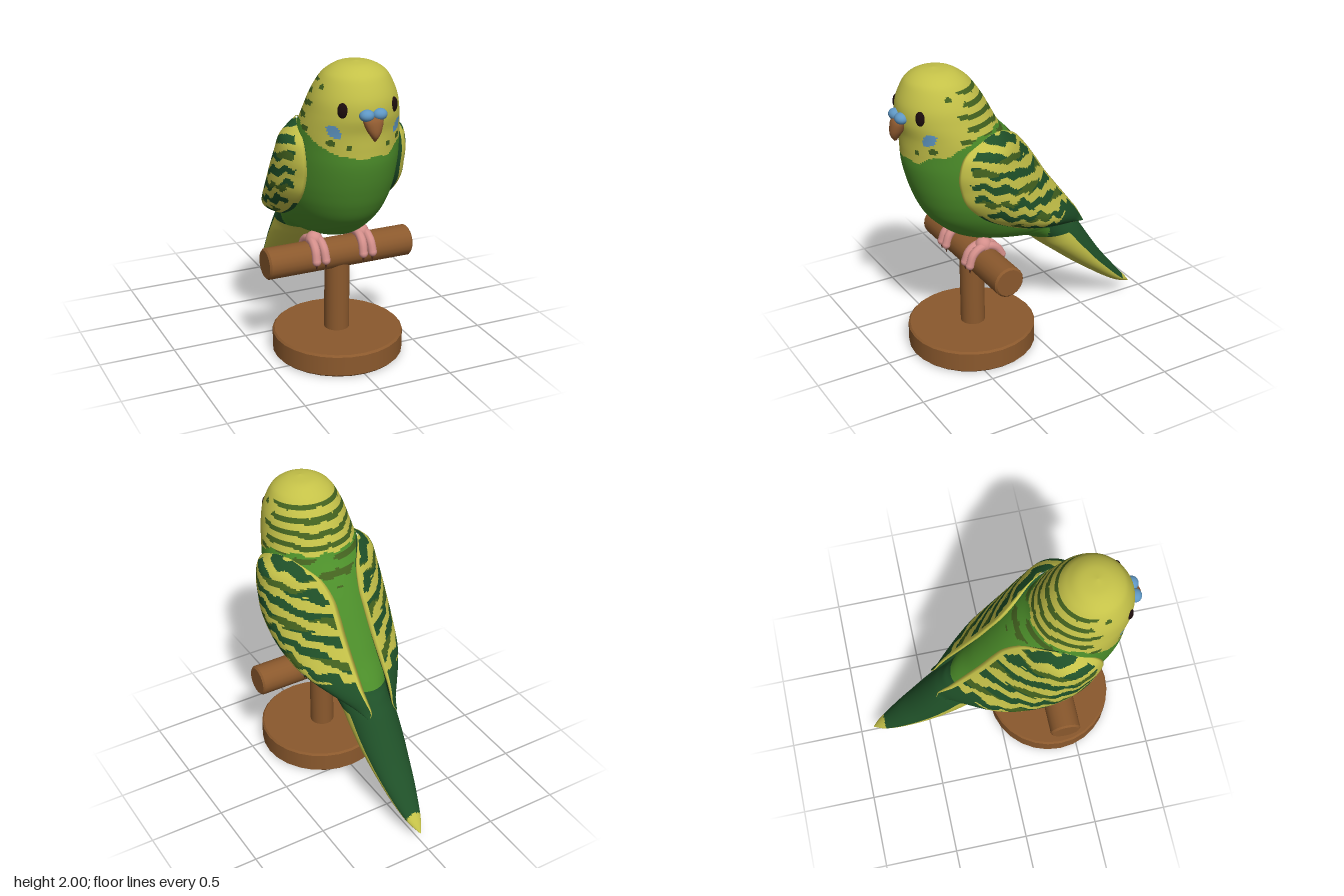
import * as THREE from 'three';

const mat = (name, color) => {
  const m = new THREE.MeshStandardMaterial({ color });
  m.name = name;
  return m;
};
const V = (x, y, z) => new THREE.Vector3(x, y, z);
const wave = (a, f, p = 0) => a * Math.sin(f + p);
const frac = (v) => v - Math.floor(v);
const inOval = (x, y, cx, cy, rx, ry) => ((x - cx) / rx) ** 2 + ((y - cy) / ry) ** 2 < 1;

// Smoothly resamples a table of cross-section rows
function resample(rows, steps) {
  const curve = (k) => new THREE.CatmullRomCurve3(
    rows.map((r) => V(r[0], r[k] ?? 0, r[k + 1] ?? 0)), false, 'catmullrom', 0.5);
  const a = curve(1), b = curve(3), out = [];
  const n = (rows.length - 1) * steps;
  for (let i = 0; i <= n; i++) {
    const p = a.getPoint(i / n), q = b.getPoint(i / n);
    out.push([p.x, p.y, p.z, q.y, q.z]);
  }
  return out;
}

// Skins closed rings from top to bottom; rule(x, y, z, ringFraction) picks a material per face
function loft(name, rings, materials, rule = () => 0, flip = false) {
  const m = rings[0].length, pos = [], buckets = materials.map(() => []);
  rings.forEach((ring) => ring.forEach((p) => pos.push(flip ? -p.x : p.x, p.y, p.z)));
  for (let i = 0; i < rings.length - 1; i++) {
    for (let j = 0; j < m; j++) {
      const k = (j + 1) % m;
      const c = rings[i][j].clone().add(rings[i + 1][k]).multiplyScalar(0.5);
      const b = buckets[rule(c.x, c.y, c.z, (j + 0.5) / m)];
      const p = i * m + j, q = p + m, r = i * m + k, s = r + m;
      if (flip) b.push(p, r, q, q, r, s);
      else b.push(p, q, r, q, s, r);
    }
  }
  const geo = new THREE.BufferGeometry();
  geo.setAttribute('position', new THREE.Float32BufferAttribute(pos, 3));
  let start = 0;
  buckets.forEach((b, i) => { geo.addGroup(start, b.length, i); start += b.length; });
  geo.setIndex(buckets.flat());
  geo.computeVertexNormals();
  const mesh = new THREE.Mesh(geo, materials);
  mesh.name = name;
  return mesh;
}

// Elliptical rings from rows of [y, frontZ, backZ, halfWidth]
const ovalRings = (rows, steps, sides) => resample(rows, steps).map(([y, f, b, w]) =>
  Array.from({ length: sides }, (_, j) => {
    const a = (j / sides) * Math.PI * 2;
    return V(w * Math.sin(a), y, (f + b) / 2 + ((f - b) / 2) * Math.cos(a));
  }));

export function createModel() {
  const model = new THREE.Group();
  const yellow = mat('yellow plumage', 0xc4c148), green = mat('green plumage', 0x4c8e2a);
  const dark = mat('dark green plumage', 0x1f5028), olive = mat('olive markings', 0x43621f);
  const blue = mat('blue cere', 0x5f97c4), wood = mat('wood', 0x8b592d);
  const horn = mat('beak horn', 0x8f5a30), pink = mat('pink skin', 0xd48f8b);
  const black = mat('eye black', 0x1c0d0d), claw = mat('claw brown', 0x54301f);
  const plumage = [yellow, green, dark, olive, blue];
  const add = (name, geo, material, x, y, z, parent = model) => {
    const mesh = new THREE.Mesh(geo, material);
    mesh.name = name;
    mesh.position.set(x, y, z);
    parent.add(mesh);
    return mesh;
  };

  // Head, body and tail in one skin: [y, frontZ, backZ, halfWidth]
  const bodyRows = [
    [2, 0.61, 0.609, 0.001], [1.985, 0.70, 0.50, 0.10], [1.95, 0.765, 0.435, 0.17], [1.9, 0.805, 0.38, 0.215],
    [1.8, 0.845, 0.31, 0.262], [1.7, 0.85, 0.255, 0.288], [1.6, 0.83, 0.2, 0.31], [1.5, 0.825, 0.11, 0.325],
    [1.4, 0.82, 0.035, 0.335], [1.3, 0.8, -0.03, 0.34], [1.2, 0.77, -0.09, 0.34], [1.1, 0.73, -0.15, 0.33],
    [1, 0.67, -0.21, 0.305], [0.9, 0.57, -0.28, 0.265], [0.84, 0.48, -0.32, 0.23], [0.8, 0.36, -0.36, 0.2],
    [0.76, 0.15, -0.39, 0.18], [0.7, -0.02, -0.435, 0.17], [0.6, -0.14, -0.5, 0.165], [0.5, -0.26, -0.565, 0.155],
    [0.4, -0.38, -0.635, 0.138], [0.3, -0.51, -0.715, 0.115], [0.2, -0.645, -0.795, 0.085],
    [0.12, -0.77, -0.865, 0.05], [0.065, -0.9, -0.905, 0.004]];
  const bodyRule = (x, y, z, t) => {
    const ax = Math.abs(x), back = Math.cos(t * Math.PI * 2);
    if (y < 0.85 && z < -0.04) {                                    // tail
      if (back > -0.25 && y > 0.7) return z > -0.12 ? 1 : 2;
      return back > -0.25 || z < -0.82 ? 0 : 2;
    }
    const neck = 1.46 + 0.16 * THREE.MathUtils.clamp((0.8 - z) / 0.32, 0, 1) + wave(0.008, x * 38) + wave(0.006, z * 45);
    const stripe = frac((y + wave(0.01, ax * 16) + wave(0.006, z * 30)) / 0.075) < 0.42;
    if (y < neck) return z < 0.3 && y > 1.44 && stripe && Math.sin(x * 17 + y * 30) > -0.5 ? 3 : 1;
    if (z > 0.5) {                                                  // face markings
      if (inOval(ax + (1.62 - y) * 0.4, y, 0.205, 1.62, 0.032, 0.042)) return 4;
      if (inOval(ax, y, 0.13, 1.525, 0.016, 0.02) || inOval(ax, y, 0.218, 1.55, 0.02, 0.022)) return 3;
      if (inOval(z, y, 0.63, 1.865, 0.022, 0.016)) return 3;
    }
    return z < 0.56 + wave(0.03, y * 40) && y < 1.9 && stripe ? 3 : 0;
  };
  model.add(loft('body', ovalRings(bodyRows, 10, 140), plumage, bodyRule));

  // Folded wings: [y, frontZ, backZ, frontX, backX, bulge]
  const wingRows = [
    [1.605, 0.36, 0.32, 0.275, 0.26, 0.005], [1.59, 0.44, 0.26, 0.295, 0.23, 0.035], [1.56, 0.51, 0.2, 0.31, 0.19, 0.09],
    [1.5, 0.585, 0.11, 0.32, 0.13, 0.165], [1.4, 0.615, 0.02, 0.32, 0.095, 0.2], [1.3, 0.605, -0.05, 0.315, 0.09, 0.215],
    [1.18, 0.56, -0.125, 0.32, 0.09, 0.215], [1.05, 0.43, -0.22, 0.32, 0.09, 0.195], [0.95, 0.25, -0.295, 0.3, 0.09, 0.165],
    [0.89, 0.11, -0.34, 0.27, 0.09, 0.13], [0.83, -0.06, -0.385, 0.215, 0.085, 0.085],
    [0.77, -0.27, -0.42, 0.15, 0.08, 0.035], [0.73, -0.425, -0.435, 0.11, 0.1, 0.002]];
  const OUT = 70, IN = 14;
  const bulges = resample(wingRows.map((r) => [r[0], r[5], 0, 0, 0]), 10);
  const wingRings = resample(wingRows, 10).map(([y, f, b, fx, bx], i) => {
    const at = (t, bulge) => V(
      THREE.MathUtils.lerp(fx, bx, t) + bulge * Math.max(0, Math.sin(Math.PI * t)) ** 0.8, y,
      THREE.MathUtils.lerp(f, b, t));
    const ring = [];
    for (let j = 0; j < OUT; j++) ring.push(at(j / (OUT - 1), bulges[i][1]));
    for (let j = 1; j <= IN; j++) ring.push(at(1 - j / (IN + 1), -0.01));
    return ring;
  });
  const wingRule = (x, y, z, f) => {
    const t = f * (OUT + IN) / OUT;
    if (t > 1) return 2;                                            // underside
    if (y < 1.1 && t < 0.03) return 2;
    if (t < 0.09 + wave(0.015, y * 50) || t > 0.95) return 0;       // pale border
    if (y < 0.8) return t < 0.25 ? 0 : 2;
    if (y < 0.93 - 0.25 * z - 0.06) return t < 0.16 ? 0 : 2;        // flight feathers
    const q = y - 0.28 * z + 0.022 * Math.abs(Math.sin(z * 20 + Math.floor(y * 5))) + wave(0.008, z * 47);
    if (frac(q / 0.098) > 0.5 + wave(0.09, z * 23, q * 30)) return 0;
    return Math.sin(z * 11 + q * 26) > 0.6 ? 3 : 2;
  };
  model.add(loft('leftWing', wingRings, plumage, wingRule));
  model.add(loft('rightWing', wingRings, plumage, wingRule, true));

  // Beak
  model.add(loft('beak', ovalRings([
    [1.725, 0.86, 0.8, 0.05], [1.70, 0.895, 0.81, 0.064], [1.65, 0.91, 0.82, 0.05],
    [1.61, 0.908, 0.845, 0.028], [1.575, 0.885, 0.87, 0.004]], 5, 20), [horn]));

  for (const s of [-1, 1]) {
    const side = s > 0 ? 'left' : 'right';
    // Cere and eyes
    add(side + 'Cere', new THREE.SphereGeometry(1, 20, 14), blue, s * 0.042, 1.73, 0.852).scale.set(0.046, 0.036, 0.042);
    const eye = add(side + 'Eye', new THREE.SphereGeometry(1, 20, 14), black, s * 0.165, 1.755, 0.785);
    eye.scale.set(0.032, 0.048, 0.022);
    eye.rotation.y = s * 0.6;

    // Feet: toes curling over the perch
    const foot = new THREE.Group();
    foot.name = side + 'Foot';
    foot.position.set(s * 0.163, 0.675, 0.37);
    model.add(foot);
    add('ankle', new THREE.SphereGeometry(0.055, 16, 12), pink, 0, 0.115, 0, foot);
    for (const toe of [-1, 1]) {
      for (const dir of [-1, 1]) {
        const end = dir > 0 ? 1.5 : 1.3;
        const pts = [0, 0.3, 0.6, 1].map((k) => V(toe * (0.024 + 0.008 * k),
          0.118 * Math.cos(end * k), dir * 0.118 * Math.sin(end * k)));
        add(dir > 0 ? 'frontToe' : 'backToe',
          new THREE.TubeGeometry(new THREE.CatmullRomCurve3(pts), 14, 0.029, 10), pink, 0, 0, 0, foot);
        const tip = pts[3];
        add('toeTip', new THREE.SphereGeometry(0.029, 12, 8), pink, tip.x, tip.y, tip.z, foot);
        const nail = add('claw', new THREE.ConeGeometry(0.014, 0.05, 8), claw, tip.x, tip.y - 0.035, tip.z, foot);
        nail.rotation.x = Math.PI;
      }
    }
  }

  // Wooden stand, with slightly rounded rims
  const turned = (r, h, bevel, sides) => {
    const mid = [V(r - bevel, -h / 2), V(r, -h / 2 + bevel), V(r, h / 2 - bevel), V(r - bevel, h / 2)];
    const pts = [V(0, -h / 2), ...mid, V(0, h / 2)].map((p) => new THREE.Vector2(p.x, p.y));
    return new THREE.LatheGeometry(pts.flatMap((p, i) => (i > 0 && i < 5 ? [p, p.clone()] : [p])), sides);
  };
  add('perch', turned(0.102, 1.0, 0.012, 20), wood, 0, 0.675, 0.37).rotation.z = Math.PI / 2;
  add('post', new THREE.CylinderGeometry(0.082, 0.082, 0.5, 20), wood, 0, 0.37, 0.37);
  add('base', turned(0.424, 0.15, 0.012, 28), wood, 0, 0.075, 0.38);
  return model;
}
